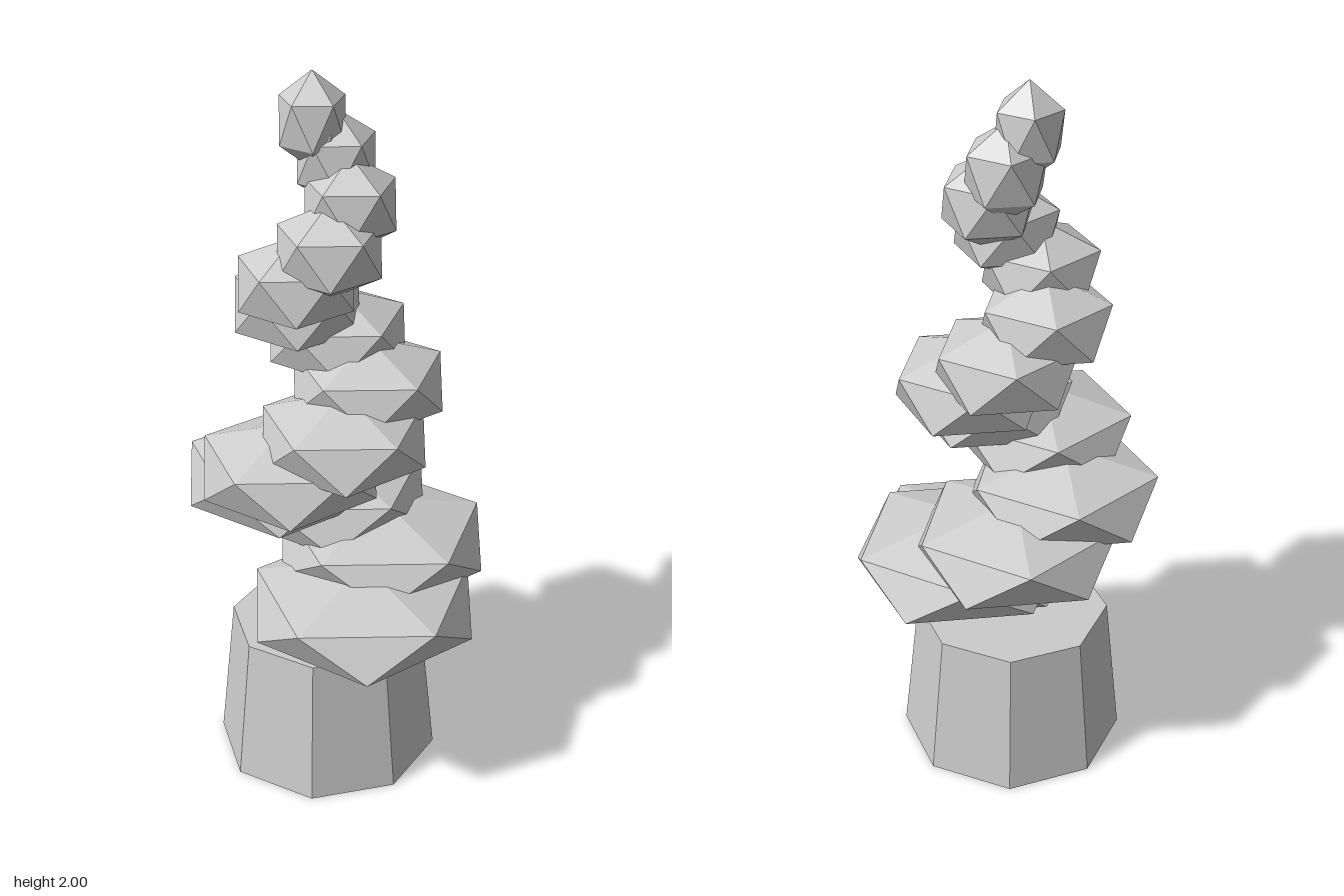
import * as THREE from 'three';

// Potted spiral topiary: flattened icosahedra climbing around a trunk.
export function createModel() {
  const model = new THREE.Group();
  model.name = 'spiralTopiary';
  const grey = new THREE.MeshStandardMaterial({ color: 0xcccccc });
  grey.name = 'pale grey';
  grey.flatShading = true;

  const axisX = -0.04, axisZ = 0.04;
  const add = (name, geometry, x, y, z) => {
    const mesh = new THREE.Mesh(geometry, grey);
    mesh.name = name;
    mesh.position.set(x, y, z);
    model.add(mesh);
    return mesh;
  };

  // Eight-sided tapered pot and the thin trunk
  add('pot', new THREE.CylinderGeometry(0.27, 0.313, 0.417, 8), axisX, 0.2085, axisZ);
  add('trunk', new THREE.CylinderGeometry(0.03, 0.05, 1.45, 8), axisX, 1.125, axisZ);

  // Icosahedron turned to stand on a corner, upper ring corner facing +x
  const clump = new THREE.IcosahedronGeometry(1, 0);
  clump.rotateZ(-Math.atan(2 / (1 + Math.sqrt(5))));

  // Clumps shrink in width as they wind two and a half turns upward
  const count = 14;
  for (let i = 0; i < count; i++) {
    const t = i / (count - 1);
    const angle = t * 5 * Math.PI;
    const ring = THREE.MathUtils.lerp(0.309, 0.088, t);
    const offset = ring * 0.55;
    const mesh = add('foliage' + (i + 1), clump,
      axisX + Math.cos(angle) * offset,
      THREE.MathUtils.lerp(0.54, 1.87, t),
      axisZ - Math.sin(angle) * offset);
    mesh.scale.set(ring / 0.8944, 0.13, ring / 0.8944);
  }
  return model;
}
